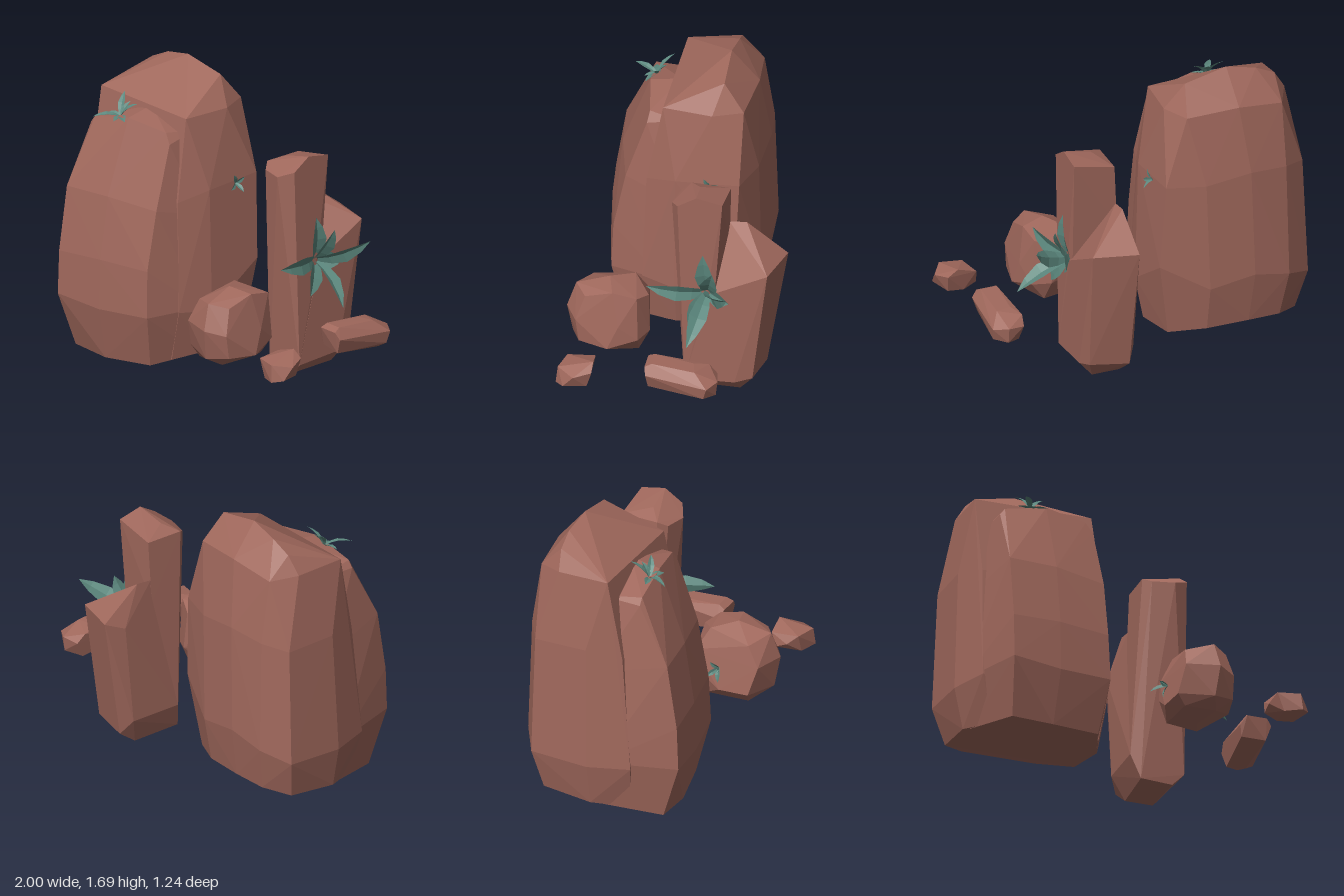
import * as THREE from 'three';
import { ConvexGeometry } from 'three/addons/geometries/ConvexGeometry.js';

const rockMat = new THREE.MeshStandardMaterial({ color: 0xa0685c, flatShading: true });
rockMat.name = 'red rock';
const leafMat = new THREE.MeshStandardMaterial({ color: 0x5b877d, flatShading: true, side: THREE.DoubleSide });
leafMat.name = 'sage leaf';

const v = (p) => new THREE.Vector3(...p);

// Chiselled rock: the hull of its corners
function rock(name, corners) {
  const mesh = new THREE.Mesh(new ConvexGeometry(corners.map(v)), rockMat);
  mesh.name = name;
  return mesh;
}

// Pointed leaf, folded along its midrib and arched away from the rock
function leaf(base, tip, normal, width) {
  const along = tip.clone().sub(base);
  const side = along.clone().cross(normal).normalize();
  const lift = side.clone().cross(along).normalize();
  const len = along.length();
  const rows = [[0, 0.35], [0.25, 0.8], [0.5, 1], [0.78, 0.6], [1, 0]];
  const pos = [], index = [];
  rows.forEach(([t, w], i) => {
    const mid = base.clone().addScaledVector(along, t)
      .addScaledVector(lift, len * 0.13 * Math.sin(Math.PI * t));
    for (const s of [-1, 0, 1]) {
      const p = mid.clone().addScaledVector(side, s * w * width / 2)
        .addScaledVector(lift, s === 0 ? -0.2 * w * width : 0);
      pos.push(p.x, p.y, p.z);
    }
    if (i === 0) return;
    for (const k of [0, 1]) {
      const a = (i - 1) * 3 + k, b = a + 3;
      index.push(a, a + 1, b, a + 1, b + 1, b);
    }
  });
  const geo = new THREE.BufferGeometry();
  geo.setAttribute('position', new THREE.Float32BufferAttribute(pos, 3));
  geo.setIndex(index);
  geo.computeVertexNormals();
  const mesh = new THREE.Mesh(geo, leafMat);
  mesh.name = 'leaf';
  return mesh;
}

function plant(name, base, normal, width, tips) {
  const g = new THREE.Group();
  g.name = name;
  tips.forEach((t) => g.add(leaf(v(base), v(t), v(normal).normalize(), width)));
  return g;
}

export function createModel() {
  const model = new THREE.Group();
  model.name = 'desertRocks';

  // Large rock: rear dome and lower front buttress
  const bigRock = new THREE.Group();
  bigRock.name = 'bigRock';
  bigRock.add(rock('rearDome', [
    // crown ridge
    [-0.84, 1.59, -0.14], [-0.72, 1.65, -0.15], [-0.54, 1.69, -0.14], [-0.28, 1.64, -0.15],
    // shoulder
    [-0.91, 1.48, 0.19], [-0.2, 1.48, 0.19], [-0.17, 1.48, -0.1], [-0.24, 1.48, -0.27],
    [-0.55, 1.5, -0.3], [-0.83, 1.46, -0.27], [-0.91, 1.48, -0.12],
    // upper body
    [-0.97, 1.05, -0.24], [-0.83, 1.08, -0.33], [-0.6, 1.1, -0.36], [-0.33, 1.06, -0.34],
    [-0.11, 1.06, -0.27], [-0.1, 1.05, 0.1], [-0.17, 1.0, 0.28], [-0.9, 1.0, 0.28], [-0.97, 1.05, 0.08],
    // lower body
    [-1, 0.34, -0.25], [-0.84, 0.4, -0.35], [-0.62, 0.45, -0.37], [-0.35, 0.4, -0.35],
    [-0.08, 0.55, -0.25], [-0.08, 0.32, 0.1], [-0.14, 0.34, 0.3], [-1, 0.32, 0.1], [-0.92, 0.32, 0.34],
    // foot
    [-0.94, 0.1, -0.2], [-0.8, 0.13, -0.3], [-0.6, 0.14, -0.32], [-0.35, 0.13, -0.3],
    [-0.15, 0.1, -0.2], [-0.13, 0.06, 0.1], [-0.2, 0.04, 0.3], [-0.95, 0.07, 0.1], [-0.85, 0.04, 0.3],
  ]));
  bigRock.add(rock('frontButtress', [
    // ledge
    [-0.82, 1.34, 0.1], [-0.53, 1.46, 0.15], [-0.23, 1.38, 0.1],
    [-0.79, 1.37, 0.35], [-0.53, 1.43, 0.33], [-0.27, 1.4, 0.28], [-0.82, 1.33, 0.35], [-0.23, 1.34, 0.29],
    // face
    [-0.83, 0.98, 0.53], [-0.53, 0.99, 0.49], [-0.21, 0.97, 0.41],
    [-0.83, 0.6, 0.59], [-0.53, 0.62, 0.55], [-0.21, 0.62, 0.48],
    [-0.83, 0.34, 0.6], [-0.53, 0.32, 0.56], [-0.2, 0.34, 0.49],
    [-0.8, 0.01, 0.49], [-0.55, 0.0, 0.49], [-0.25, 0.02, 0.42],
    // flanks sunk in the dome
    [-0.92, 0.9, 0.12], [-0.13, 0.9, 0.12], [-0.97, 0.35, 0.16], [-0.1, 0.35, 0.16],
    [-0.92, 0.06, 0.14], [-0.15, 0.05, 0.14],
  ]));
  model.add(bigRock);

  // Standing slab: tall column with a lower shoulder behind it
  const slab = new THREE.Group();
  slab.name = 'standingSlab';
  slab.add(rock('column', [
    [0.21, 1.28, -0.06], [0.25, 1.25, -0.01], [0.38, 1.25, 0.02], [0.47, 1.29, -0.03],
    [0.3, 1.32, -0.13], [0.47, 1.36, -0.14], [0.47, 1.33, -0.29], [0.22, 1.28, -0.29],
    [0.47, 0.7, -0.2], [0.2, 0.9, -0.28], [0.47, 0.1, -0.07], [0.4, 0.03, -0.08],
    [0.21, 0.04, -0.08], [0.16, 0.2, -0.12], [0.18, 0.2, -0.2], [0.45, 0.1, -0.2],
  ]));
  slab.add(rock('shoulder', [
    [0.47, 0.7, -0.22], [0.47, 0.87, -0.55], [0.21, 0.87, -0.62], [0.21, 1.05, -0.38], [0.21, 1.04, -0.28],
    [0.17, 0.82, -0.5], [0.17, 0.2, -0.44], [0.16, 0.2, -0.12], [0.47, 0.1, -0.07], [0.47, 0.11, -0.36],
    [0.45, 0.14, -0.46], [0.22, 0.12, -0.5], [0.21, 0.04, -0.08], [0.4, 0.03, -0.08],
    [0.4, 0.03, -0.38], [0.23, 0.03, -0.38],
  ]));
  model.add(slab);

  // Loose stones
  model.add(rock('boulder', [
    [0.27, 0.65, 0.25], [0.37, 0.68, 0.38], [0.51, 0.66, 0.34], [0.5, 0.63, 0.2], [0.25, 0.6, 0.5],
    [0.4, 0.63, 0.57], [0.5, 0.61, 0.5], [0.22, 0.52, 0.18], [0.4, 0.6, 0.15], [0.42, 0.37, 0.14],
    [0.21, 0.4, 0.2], [0.19, 0.31, 0.34], [0.2, 0.31, 0.52], [0.23, 0.48, 0.57], [0.42, 0.48, 0.62],
    [0.53, 0.46, 0.55], [0.53, 0.32, 0.53], [0.4, 0.3, 0.59], [0.57, 0.31, 0.36], [0.55, 0.45, 0.3],
    [0.52, 0.36, 0.19], [0.24, 0.25, 0.24], [0.38, 0.22, 0.36], [0.44, 0.25, 0.2], [0.25, 0.25, 0.5],
    [0.44, 0.25, 0.5],
  ]));
  model.add(rock('longStone', [
    [0.8, 0.47, 0.07], [0.92, 0.47, 0.07], [0.81, 0.49, 0.03], [0.91, 0.49, 0.03], [0.95, 0.43, 0.06],
    [0.77, 0.42, 0.04], [0.78, 0.35, 0.03], [0.92, 0.34, 0.05], [0.79, 0.45, -0.28], [0.83, 0.47, -0.2],
    [0.92, 0.47, -0.22], [0.98, 0.4, -0.3], [0.9, 0.41, -0.35], [0.8, 0.4, -0.33], [0.97, 0.33, -0.28],
    [0.9, 0.32, -0.34], [0.81, 0.3, -0.28], [0.92, 0.3, -0.26],
  ]));
  model.add(rock('smallStone', [
    [0.78, 0.41, 0.38], [0.9, 0.45, 0.37], [0.96, 0.41, 0.37], [1, 0.39, 0.47], [0.99, 0.32, 0.53],
    [0.93, 0.41, 0.57], [0.8, 0.41, 0.54], [0.77, 0.36, 0.48], [0.77, 0.33, 0.41], [0.85, 0.3, 0.4],
    [0.95, 0.31, 0.4], [0.84, 0.3, 0.54], [0.94, 0.31, 0.58],
  ]));

  // Plants rooted in the cracks
  model.add(plant('largePlant', [0.46, 0.71, -0.2], [1, 0, 0], 0.105, [
    [0.74, 0.86, -0.37], [0.76, 0.52, -0.14], [0.54, 0.76, 0.14], [0.49, 0.98, -0.18],
    [0.54, 0.7, -0.34], [0.57, 0.91, -0.25], [0.53, 0.53, -0.1],
  ]));
  model.add(plant('ledgePlant', [-0.62, 1.41, 0.31], [0, 1, 0.3], 0.04, [
    [-0.7, 1.42, 0.45], [-0.53, 1.41, 0.36], [-0.68, 1.52, 0.22], [-0.52, 1.5, 0.27],
    [-0.71, 1.41, 0.33], [-0.6, 1.49, 0.25], [-0.6, 1.4, 0.38],
  ]));
  model.add(plant('sidePlant', [-0.1, 1.04, -0.1], [1, 0, 0], 0.03, [
    [-0.04, 1.0, -0.11], [-0.08, 1.1, -0.07], [-0.07, 1.02, -0.04], [-0.08, 1.07, -0.15],
  ]));
  model.add(plant('boulderPlant', [0.21, 0.44, 0.33], [-1, 0, 0], 0.03, [
    [0.12, 0.41, 0.28], [0.15, 0.45, 0.36], [0.18, 0.36, 0.34], [0.18, 0.48, 0.29],
  ]));

  return model;
}
